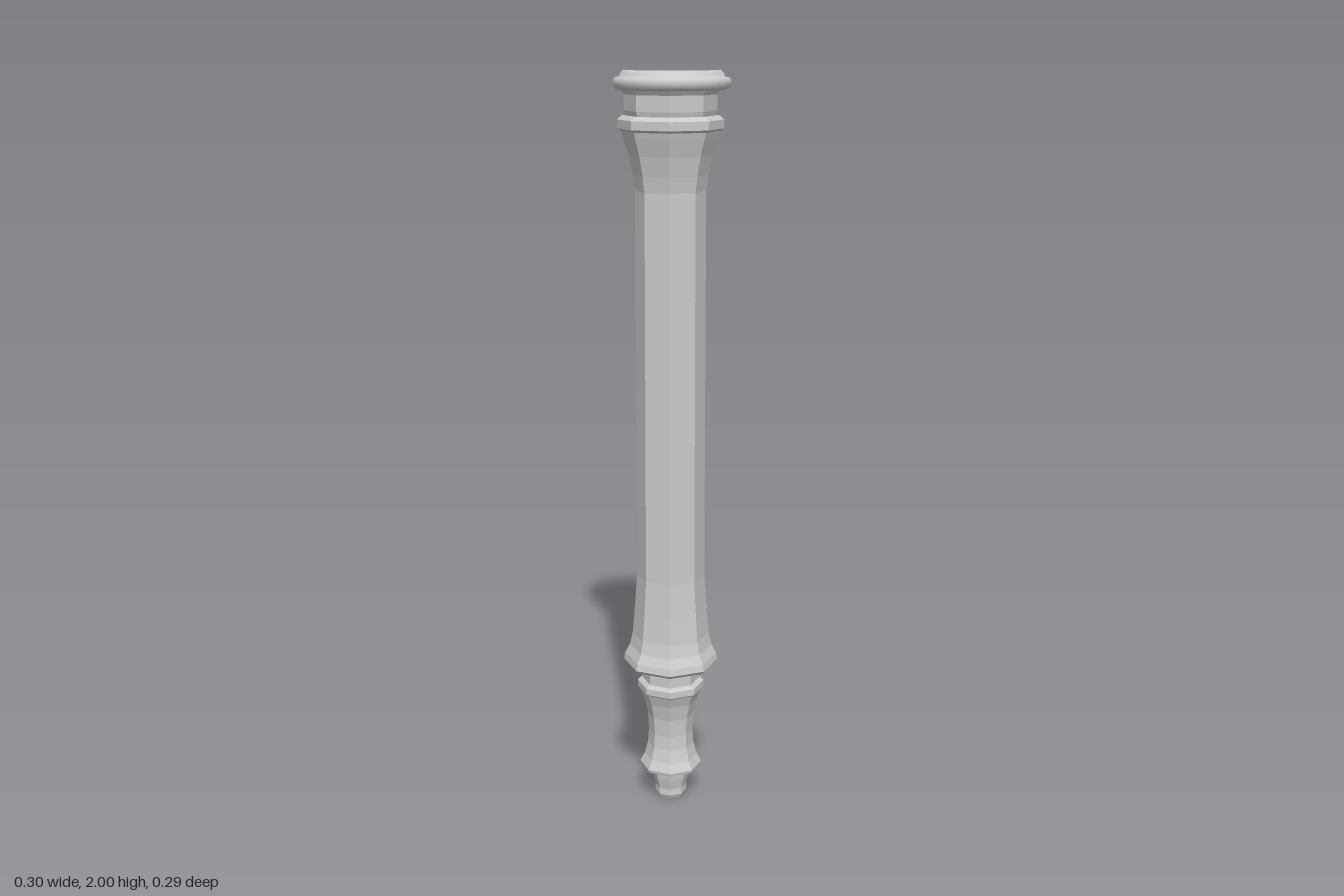
import * as THREE from 'three';

const rad = THREE.MathUtils.degToRad;
const CX = -0.004, CZ = -0.007; // axis of the octagonal body

export function createModel() {
  const group = new THREE.Group();
  const faceted = new THREE.MeshStandardMaterial({ color: 0xcccccc, flatShading: true });
  const smooth = new THREE.MeshStandardMaterial({ color: 0xcccccc, side: THREE.DoubleSide });

  // Eight-sided turned section from [radius, height] pairs, bottom to top
  function octagon(name, profile) {
    const points = profile.map(([r, y]) => new THREE.Vector2(r, y));
    const mesh = new THREE.Mesh(new THREE.LatheGeometry(points, 8, rad(16.4)), faceted);
    mesh.name = name;
    mesh.position.set(CX, 0, CZ);
    group.add(mesh);
  }

  // Small foot at the lower tip
  octagon('tip', [
    [0, 0], [0.038, 0], [0.044, 0.012], [0.043, 0.03], [0.05, 0.06], [0.056, 0.1], [0, 0.1],
  ]);

  // Waisted grip with flared ends
  octagon('grip', [
    [0, 0.092], [0.084, 0.092], [0.086, 0.1], [0.073, 0.125], [0.064, 0.16], [0.061, 0.2],
    [0.064, 0.25], [0.074, 0.295], [0.086, 0.325], [0.092, 0.33], [0.092, 0.348],
    [0.082, 0.356], [0, 0.356],
  ]);

  octagon('lowerNeck', [[0, 0.35], [0.079, 0.35], [0.079, 0.395], [0.088, 0.41], [0, 0.41]]);

  // Long shaft, flaring out at its base
  octagon('shaft', [
    [0, 0.403], [0.122, 0.403], [0.13, 0.412], [0.126, 0.43], [0.113, 0.455], [0.105, 0.49],
    [0.099, 0.56], [0.092, 0.66], [0.091, 1.7],
  ]);

  // Flared capital with its moulded lip
  octagon('capital', [
    [0.091, 1.7], [0.097, 1.74], [0.108, 1.79], [0.122, 1.835], [0.126, 1.85],
    [0.136, 1.856], [0.136, 1.878], [0.124, 1.888], [0, 1.888],
  ]);

  octagon('upperNeck', [[0, 1.88], [0.113, 1.88], [0.118, 1.9], [0.118, 1.94], [0.126, 1.952], [0, 1.952]]);
  octagon('topPlate', [[0, 1.95], [0.136, 1.95], [0.142, 1.958], [0.142, 1.965], [0, 1.965]]);

  // Half-round moulding over the front half of the top plate
  const rimProfile = [
    [0.13, 1.952], [0.144, 1.955], [0.15, 1.964], [0.15, 1.975], [0.144, 1.982], [0.134, 1.983],
    [0.131, 1.992], [0.123, 2], [0.114, 1.998], [0.105, 1.984], [0.095, 1.971], [0.085, 1.967],
  ].map(([r, y]) => new THREE.Vector2(r, y));
  const rim = new THREE.Mesh(new THREE.LatheGeometry(rimProfile, 14, rad(-78), rad(179)), smooth);
  rim.name = 'halfRim';
  rim.position.set(0, 0, -0.006);
  group.add(rim);

  // Flat caps closing both cut ends of the moulding
  for (const phi of [-78, 101]) {
    const cap = new THREE.Mesh(new THREE.ShapeGeometry(new THREE.Shape(rimProfile)), smooth);
    cap.name = 'rimEnd';
    cap.rotation.y = rad(phi - 90);
    cap.position.copy(rim.position);
    group.add(cap);
  }

  return group;
}
